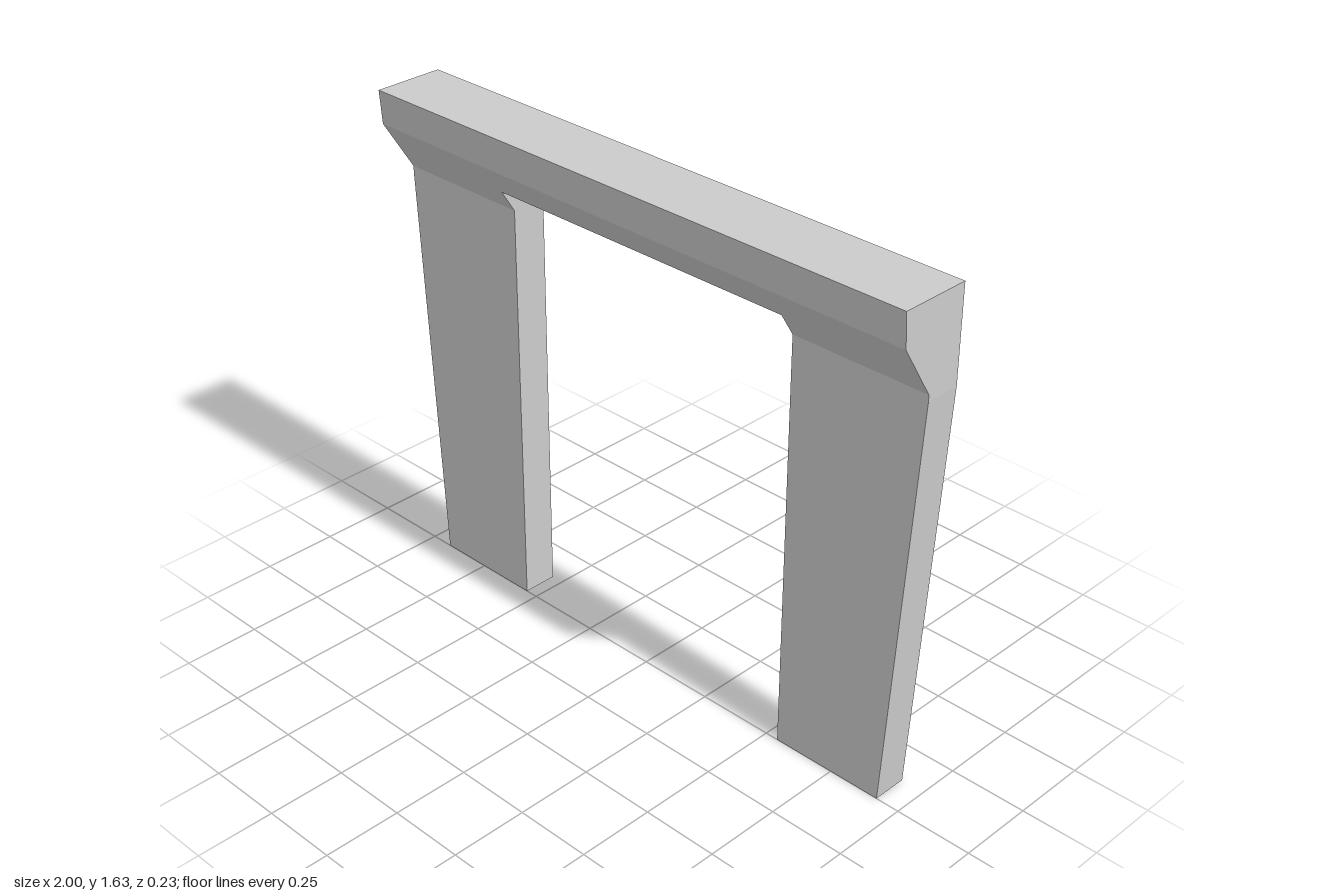
import * as THREE from 'three';

const TOP = 1.635, LINTEL = 1.43, SPRING = 1.355, BACK = -0.115;
const INNER = 0.543, FOOT = 0.922;

const material = new THREE.MeshStandardMaterial({ color: 0xcccccc, flatShading: true });

const shapeOf = (points) => new THREE.Shape(points.map(([x, y]) => new THREE.Vector2(x, y)));

function addMesh(group, name, geometry) {
  const mesh = new THREE.Mesh(geometry, material);
  mesh.name = name;
  group.add(mesh);
}

// Extrudes a (z, y) profile along x between x0 and x1.
function alongX(profile, x0, x1) {
  const geometry = new THREE.ExtrudeGeometry(shapeOf(profile), { depth: x1 - x0, bevelEnabled: false });
  return geometry.rotateY(-Math.PI / 2).translate(x1, 0, 0);
}

export function createModel() {
  const group = new THREE.Group();
  group.name = 'doorFrame';

  // Flat frame: two legs tapering towards the foot, joined by the lintel
  const half = [[INNER, LINTEL], [INNER, 0], [FOOT, 0], [1, SPRING - 0.02], [1, TOP]];
  const outline = [...half, ...half.map(([x, y]) => [-x, y]).reverse()];
  const frame = new THREE.ExtrudeGeometry(shapeOf(outline), { depth: -BACK, bevelEnabled: false });
  addMesh(group, 'frame', frame.translate(0, 0, BACK));

  // Overhanging cornice, cut level with the top of the opening
  const lipY = 1.525, lipZ = 0.107;
  const cutZ = lipZ * (LINTEL - SPRING) / (lipY - SPRING);
  addMesh(group, 'cornice',
    alongX([[0, LINTEL], [cutZ, LINTEL], [lipZ, lipY], [0.115, TOP], [0, TOP]], -1, 1));

  // Lower wedges of the cornice running down onto each leg
  const wedge = [[0, SPRING], [cutZ, LINTEL], [0, LINTEL]];
  addMesh(group, 'leftCorniceWedge', alongX(wedge, INNER, 1));
  addMesh(group, 'rightCorniceWedge', alongX(wedge, -1, -INNER));

  return group;
}
